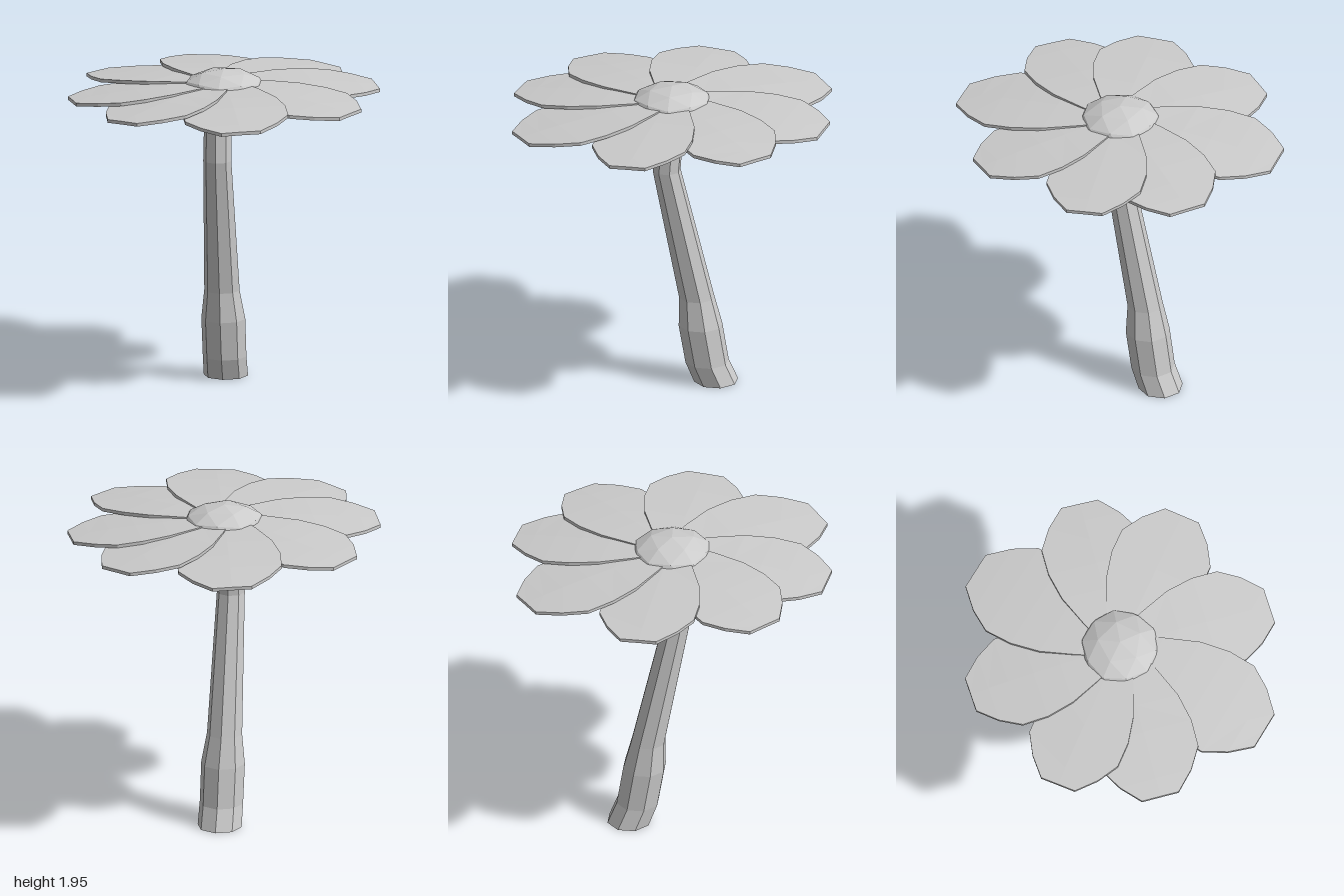
import * as THREE from 'three';

const material = new THREE.MeshStandardMaterial({ color: 0xcccccc, flatShading: true });

// Move every vertex of a geometry by a rule.
function reshape(geometry, rule) {
  const pos = geometry.attributes.position;
  const p = new THREE.Vector3();
  for (let i = 0; i < pos.count; i++) {
    p.fromBufferAttribute(pos, i);
    rule(p);
    pos.setXYZ(i, p.x, p.y, p.z);
  }
  geometry.computeVertexNormals();
  return geometry;
}

function addMesh(group, name, geometry) {
  const mesh = new THREE.Mesh(geometry, material);
  mesh.name = name;
  group.add(mesh);
  return mesh;
}

// Petal cross-sections: [distance from centre, half width]
const PETAL = [[0.05, 0.1], [0.2, 0.18], [0.4, 0.27], [0.58, 0.31], [0.75, 0.31], [0.885, 0.23], [1.003, 0.118]];

// A thin slab along +x, domed downwards to the tip and rolled so one edge overlaps its neighbour.
function petalGeometry(scale) {
  const rows = PETAL.length - 1;
  return reshape(new THREE.BoxGeometry(1, 1, 1, rows, 1, 2), (p) => {
    const [u, w] = PETAL[Math.round((p.x + 0.5) * rows)];
    const under = p.y < 0 ? 0.02 : 0;
    p.x = u * scale;
    p.z = p.z * 2 * w * scale;
    p.y = 1.872 - 0.072 * (p.x * p.x + p.z * p.z) - 0.045 * p.z - under;
  });
}

// Stem rings: [y, centre x, centre z, radius]
const STEM = [
  [0, -0.028, -0.275, 0.134],
  [0.13, -0.028, -0.22, 0.132],
  [0.37, -0.03, -0.18, 0.133],
  [0.55, -0.035, -0.158, 0.107],
  [1.39, -0.037, 0.025, 0.085],
  [1.75, -0.035, -0.002, 0.083],
];

function stemGeometry() {
  const rows = STEM.length - 1;
  return reshape(new THREE.CylinderGeometry(1, 1, 1, 8, rows), (p) => {
    const [y, cx, cz, r] = STEM[Math.round((p.y + 0.5) * rows)];
    p.set(cx + p.x * r, y, cz + p.z * r);
  });
}

export function createModel() {
  const flower = new THREE.Group();
  flower.name = 'flower';

  addMesh(flower, 'stem', stemGeometry());

  // Faceted flower centre with a corner pointing straight up
  const centre = new THREE.IcosahedronGeometry(1, 1);
  centre.rotateZ(Math.atan(2 / (1 + Math.sqrt(5)))).rotateY(Math.PI / 2);
  centre.scale(0.255, 0.13, 0.255).translate(0, 1.82, 0);
  addMesh(flower, 'flowerCentre', centre);

  // Four petals of differing size, repeated on the opposite side
  const petals = new THREE.Group();
  petals.name = 'petals';
  flower.add(petals);
  [[-104, 1], [-59, 0.96], [-21, 0.93], [28, 0.935]].forEach(([degrees, scale], i) => {
    const geometry = petalGeometry(scale);
    for (const half of [0, 1]) {
      const petal = addMesh(petals, `petal${i + 1 + half * 4}`, geometry);
      petal.rotation.y = -THREE.MathUtils.degToRad(degrees + half * 180);
    }
  });

  return flower;
}
